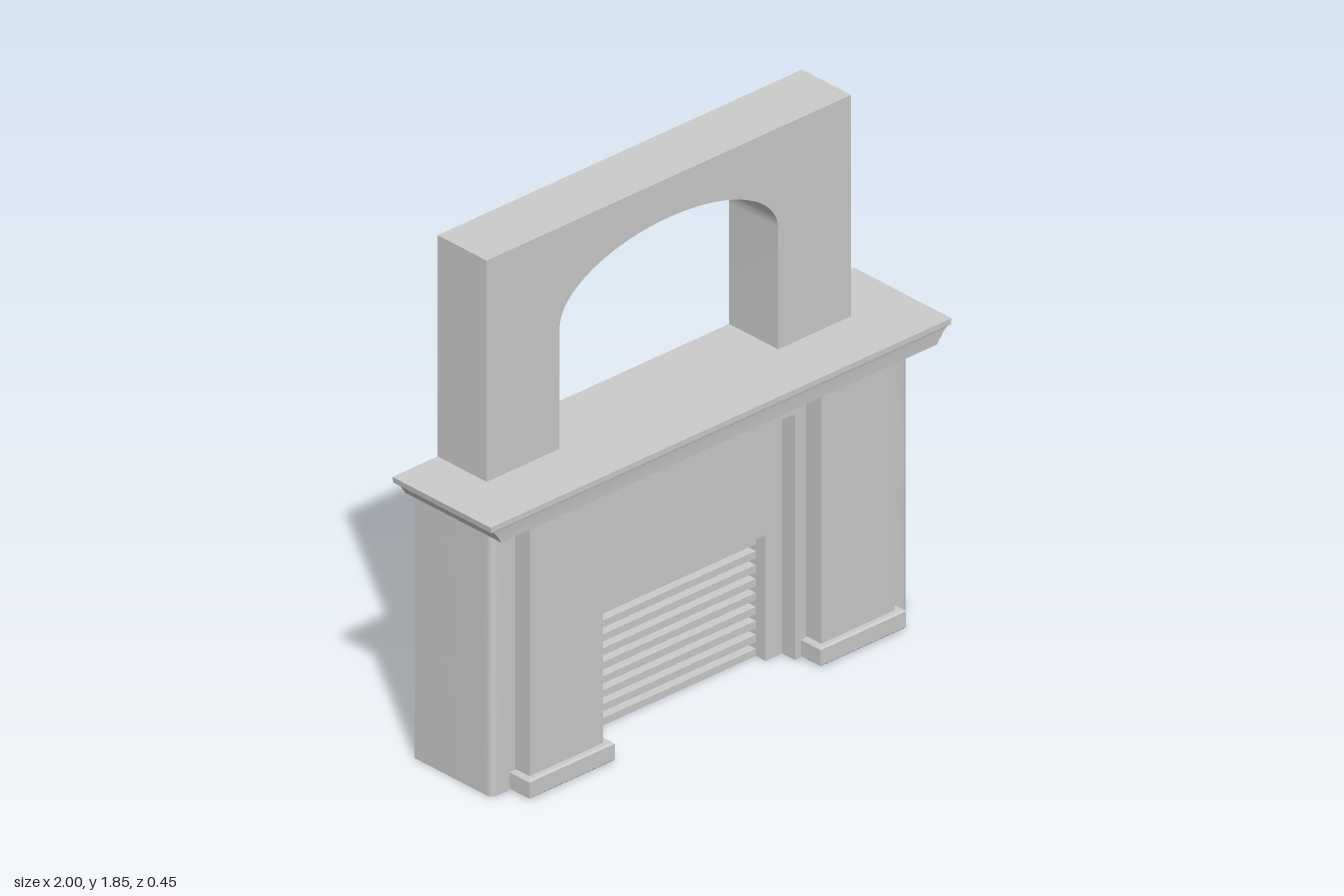
import * as THREE from 'three';
import { toCreasedNormals } from 'three/addons/utils/BufferGeometryUtils.js';

const BACK = -0.227, WALL = 0.13, PILASTER = 0.2, PANEL = 0.07, FIREBOX = -0.05;
const MID = -0.0135; // centre of the pilasters, alcove and arch

export function createModel() {
  const model = new THREE.Group();
  // The body is an open shell, so both sides show
  const material = new THREE.MeshStandardMaterial({ color: 0xcccccc, side: THREE.DoubleSide });

  const add = (name, geometry, parent = model) => {
    const mesh = new THREE.Mesh(geometry, material);
    mesh.name = name;
    parent.add(mesh);
    return mesh;
  };

  // Plan outline of the body; each step is [half width, next z], outermost first
  const outline = (steps) => {
    const s = new THREE.Shape(), w = 0.902, r = 0.025;
    s.moveTo(-w, -BACK);
    s.lineTo(-w, -WALL + r);
    s.quadraticCurveTo(-w, -WALL, -w + r, -WALL);
    let z = WALL;
    const left = [], right = [];
    for (const [half, next] of steps) {
      left.push([MID - half, z], [MID - half, next]);
      right.unshift([MID + half, next], [MID + half, z]);
      z = next;
    }
    for (const [x, pz] of [...left, ...right]) s.lineTo(x, -pz);
    s.lineTo(w - r, -WALL);
    s.quadraticCurveTo(w, -WALL, w, -WALL + r);
    s.lineTo(w, -BACK);
    s.closePath();
    return s;
  };
  // Upright walls along an outline, open above and below
  const walls = (name, shape, y0, y1) => {
    const full = new THREE.ExtrudeGeometry(shape, { depth: y1 - y0, bevelEnabled: false, curveSegments: 6 });
    const { start, count } = full.groups[1];
    const g = new THREE.BufferGeometry();
    g.setAttribute('position', new THREE.BufferAttribute(
      full.attributes.position.array.slice(start * 3, (start + count) * 3), 3));
    g.rotateX(-Math.PI / 2);
    g.translate(0, y0, 0);
    add(name, toCreasedNormals(g, 0.6));
  };
  const soffit = (name, half, y, z0, z1) => {
    const g = new THREE.PlaneGeometry(half * 2, z1 - z0).rotateX(Math.PI / 2);
    add(name, g).position.set(MID, y, (z0 + z1) / 2);
  };

  // Hollow body with pilasters, alcove and firebox recess
  const pilasters = [[0.789, PILASTER], [0.473, WALL]];
  const alcove = [0.425, PANEL], recess = [0.353, FIREBOX];
  walls('lowerBody', outline([...pilasters, alcove, recess]), 0, 0.455);
  walls('middleBody', outline([...pilasters, alcove]), 0.455, 0.89);
  walls('frieze', outline(pilasters), 0.89, 0.98);
  soffit('alcoveSoffit', alcove[0], 0.89, PANEL, WALL);
  soffit('fireboxSoffit', recess[0], 0.455, FIREBOX, PANEL);

  // Louvred grille
  const grille = new THREE.Group();
  grille.name = 'grille';
  model.add(grille);
  const slats = 9, pitch = 0.455 / slats, thick = 0.026, front = 0.025;
  for (let i = 0; i < slats; i++) {
    add('slat', new THREE.BoxGeometry(recess[0] * 2, thick, front - FIREBOX), grille)
      .position.set(MID, i * pitch + thick / 2, (front + FIREBOX) / 2);
  }

  // Plinth blocks wrapping the pilaster feet, with chamfered edges
  const wrap = new THREE.Shape([
    [-0.185, 0.135], [-0.185, 0.226], [0.185, 0.226], [0.185, 0.135],
    [0.157, 0.135], [0.157, PILASTER - 0.002], [-0.157, PILASTER - 0.002], [-0.157, 0.135],
  ].map(([x, z]) => new THREE.Vector2(x, -z)));
  const bevel = 0.006;
  const plinth = new THREE.ExtrudeGeometry(wrap, {
    depth: 0.068 - 2 * bevel, bevelSize: bevel, bevelThickness: bevel, bevelOffset: -bevel, bevelSegments: 1,
  });
  plinth.rotateX(-Math.PI / 2);
  for (const side of [-1, 1]) {
    add('plinth', plinth).position.set(MID + side * 0.631, 0.005 + bevel, 0);
  }

  // Moulded mantel shelf: rows of [half width, front z, y], flush at the back
  const rows = [
    [0.943, 0.218, 0.975], [0.951, 0.219, 0.988], [0.97, 0.221, 1.015],
    [0.984, 0.223, 1.028], [0.995, 0.227, 1.032], [0.998, 0.227, 1.053],
  ].map(([w, f, y]) => [[-w, y, BACK], [-w, y, f], [w, y, f], [w, y, BACK]]);
  const pos = [];
  const quad = (a, b, c, d) => pos.push(...a, ...b, ...c, ...a, ...c, ...d);
  for (let i = 0; i + 1 < rows.length; i++) {
    for (let j = 0; j < 4; j++) {
      const k = (j + 1) % 4;
      quad(rows[i][j], rows[i][k], rows[i + 1][k], rows[i + 1][j]);
    }
  }
  quad(...rows.at(-1));
  quad(...[...rows[0]].reverse());
  const shelf = new THREE.BufferGeometry();
  shelf.setAttribute('position', new THREE.Float32BufferAttribute(pos, 3));
  add('mantelShelf', toCreasedNormals(shelf, 0.4));

  // Overmantel with an elliptical arch
  const arch = new THREE.Shape();
  const half = 0.473, spring = 1.49, foot = 1.053, side = 0.789;
  arch.moveTo(MID - side, foot);
  arch.lineTo(MID - half, foot);
  arch.lineTo(MID - half, spring);
  arch.absellipse(MID, spring, half, 0.22, Math.PI, 0, true);
  arch.lineTo(MID + half, foot);
  arch.lineTo(MID + side, foot);
  arch.lineTo(MID + side, 1.853);
  arch.lineTo(MID - side, 1.853);
  arch.closePath();
  const over = new THREE.ExtrudeGeometry(arch, { depth: -BACK, bevelEnabled: false, curveSegments: 32 });
  add('overmantel', toCreasedNormals(over, 0.5)).position.z = BACK;

  return model;
}
